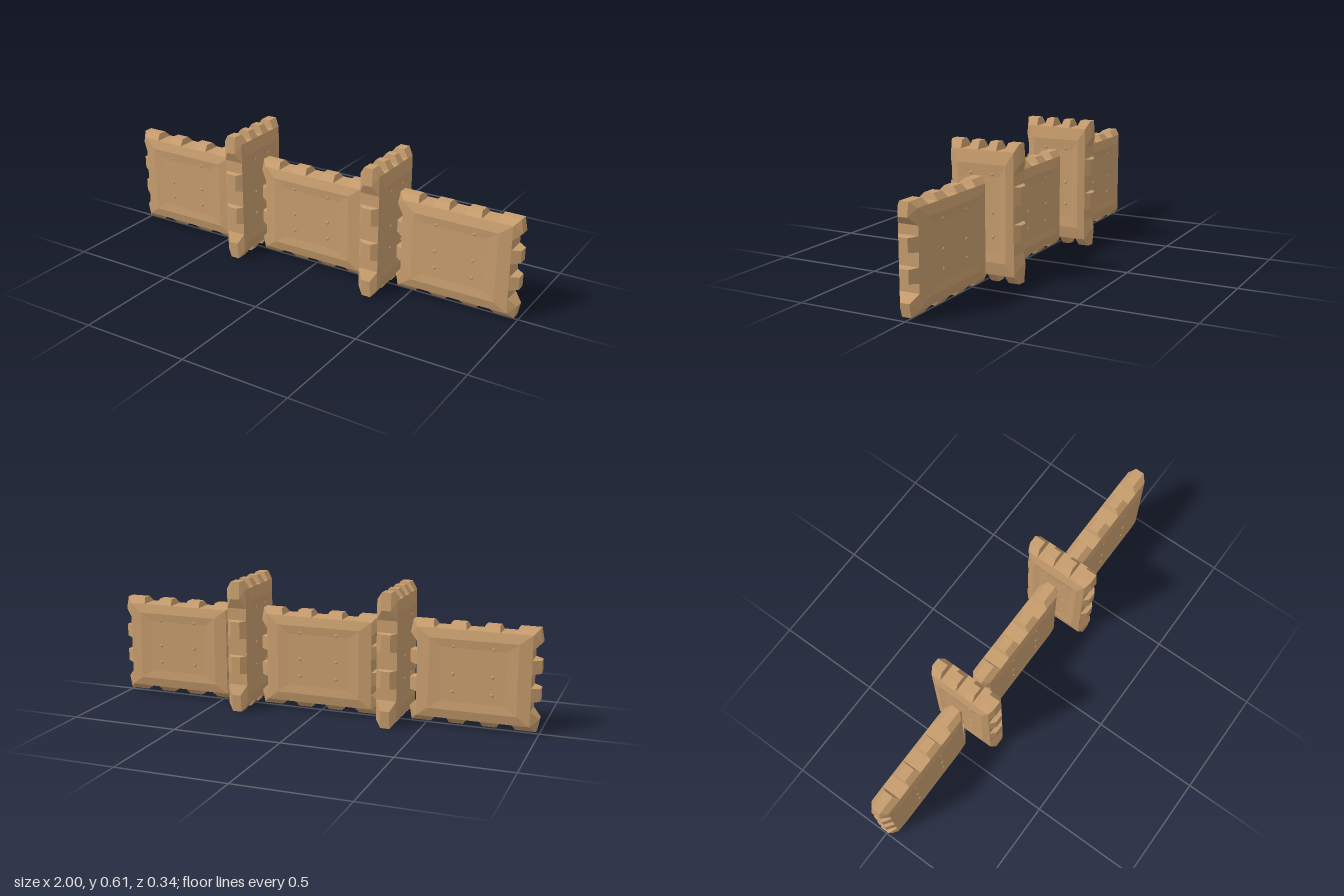
import * as THREE from 'three';
import { ConvexGeometry } from 'three/addons/geometries/ConvexGeometry.js';

const wood = new THREE.MeshStandardMaterial({ color: 0xc69c6d });
wood.name = 'tan wood';

const EDGE = 0.046; // half thickness at the slab rim
const TIP = 0.021; // half thickness at the tooth tips
const RIM = [0.875, 0.885]; // slab rim as a share of the half width and half height

function addMesh(group, name, geometry) {
  const mesh = new THREE.Mesh(geometry, wood);
  mesh.name = name;
  group.add(mesh);
  return mesh;
}

// Slab from rectangular rings: back centre, back ridge, rims, front ridge, front centre
function slabGeometry(w, h) {
  const rings = [
    [0.5, 0.53, -0.053], [0.68, 0.7, -0.057], [...RIM, -EDGE],
    [...RIM, EDGE], [0.68, 0.7, 0.057], [0.5, 0.53, 0.053],
  ].map(([x, y, z]) => [[-1, -1], [1, -1], [1, 1], [-1, 1]]
    .map(([sx, sy]) => [sx * x * w, sy * y * h, z]));
  const pos = [];
  const quad = (a, b, c, d) => pos.push(...a, ...b, ...c, ...a, ...c, ...d);
  for (let i = 0; i < rings.length - 1; i++) {
    for (let j = 0; j < 4; j++) {
      const k = (j + 1) % 4;
      quad(rings[i][j], rings[i][k], rings[i + 1][k], rings[i + 1][j]);
    }
  }
  const [b, f] = [rings[0], rings[rings.length - 1]];
  quad(b[3], b[2], b[1], b[0]);
  quad(...f);
  const g = new THREE.BufferGeometry();
  g.setAttribute('position', new THREE.Float32BufferAttribute(pos, 3));
  g.computeVertexNormals();
  return g;
}

// Convex block, thick along its base points and thin along its tip points
function wedge(base, tip, w, h, sx, sy) {
  const pts = [];
  const put = (list, z) => list.forEach(([x, y]) => {
    for (const s of [-1, 1]) pts.push(new THREE.Vector3(sx * x * w, sy * y * h, s * z));
  });
  put(base, EDGE);
  put(tip, TIP);
  return new ConvexGeometry(pts);
}

function panel(name, w, h) {
  const group = new THREE.Group();
  group.name = name;
  addMesh(group, 'slab', slabGeometry(w, h));
  for (const sx of [-1, 1]) {
    for (const sy of [-1, 1]) {
      addMesh(group, 'cornerBlock', wedge(
        [[0.61, RIM[1]], RIM, [RIM[0], 0.59]],
        [[0.65, 1], [0.96, 1], [1, 0.74]], w, h, sx, sy));
      addMesh(group, 'edgeTooth', wedge(
        [[0.12, RIM[1]], [0.39, RIM[1]]],
        [[0.15, 1], [0.365, 1]], w, h, sx, sy));
      addMesh(group, 'sideTooth', wedge(
        [[RIM[0], 0.13], [RIM[0], 0.41]],
        [[1, 0.145], [1, 0.395]], w, h, sx, sy));
    }
    // Nail heads on both faces
    for (const y of [0.56, 0.02, -0.33]) {
      for (const sz of [-1, 1]) {
        const nail = addMesh(group, 'nailHead', new THREE.SphereGeometry(0.008, 8, 6));
        nail.position.set(sx * 0.305 * w, y * h, sz * 0.053);
        nail.scale.z = 0.6;
      }
    }
  }
  return group;
}

export function createModel() {
  const model = new THREE.Group();
  model.name = 'fence';
  // Long panels in a row
  [[-0.7125, 'rightPanel'], [0, 'middlePanel'], [0.7125, 'leftPanel']].forEach(([x, name]) => {
    const p = panel(name, 0.2875, 0.2275);
    p.position.set(x, 0.2415, 0);
    model.add(p);
  });
  // Tall crosswise panels between them
  [[-0.355, 'rightCrossPanel'], [0.355, 'leftCrossPanel']].forEach(([x, name]) => {
    const p = panel(name, 0.17, 0.3025);
    p.position.set(x, 0.3025, 0);
    p.rotation.y = Math.PI / 2;
    model.add(p);
  });
  return model;
}
